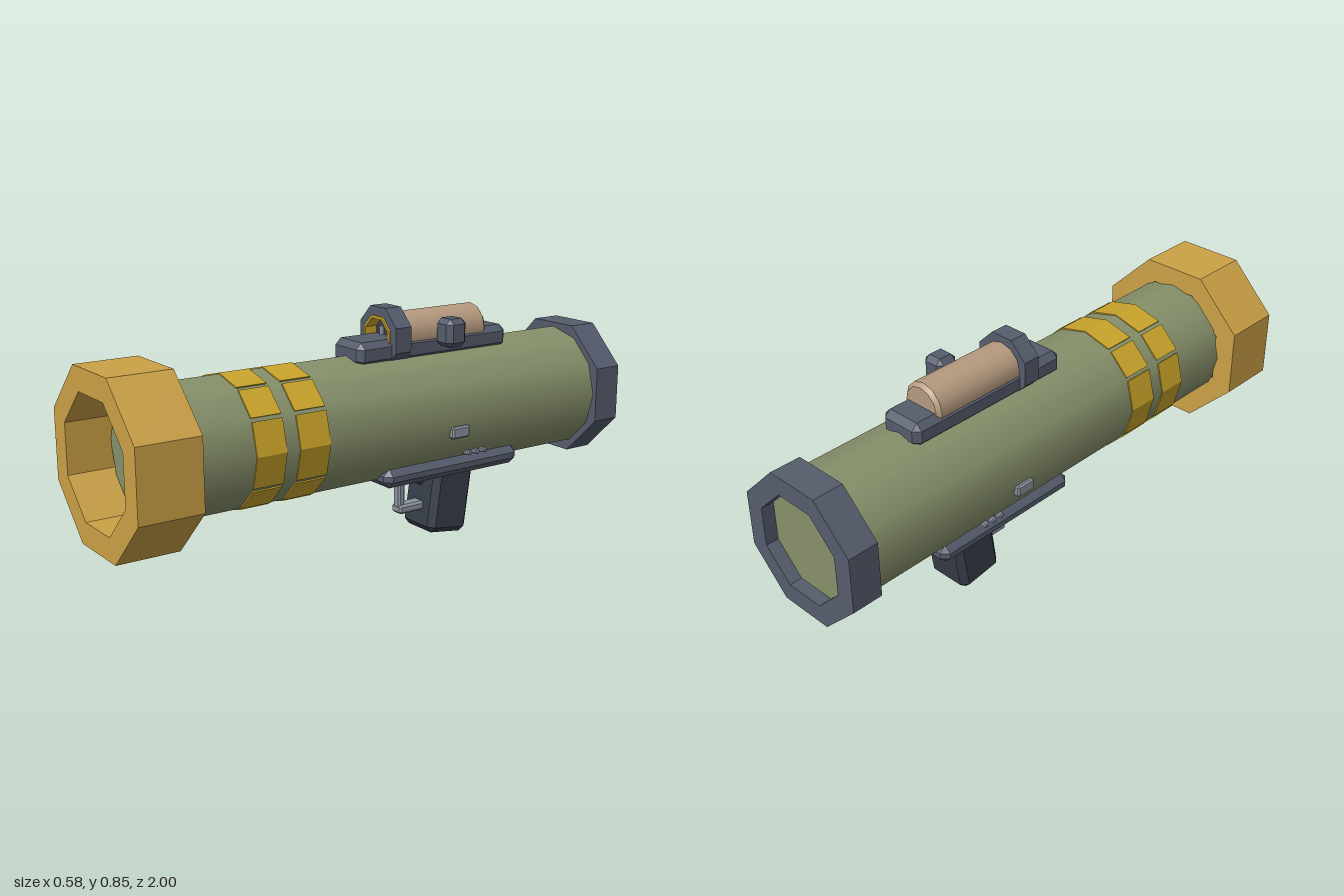
import * as THREE from 'three';
import { ConvexGeometry } from 'three/addons/geometries/ConvexGeometry.js';

const AXIS = 0.475; // height of the barrel centre line

const paint = (name, color, extra = {}) => {
  const m = new THREE.MeshStandardMaterial({ color, ...extra });
  m.name = name;
  return m;
};

// Box with every edge chamfered by c
function chamferBox(w, h, d, c) {
  const pts = [];
  for (const sx of [-1, 1]) for (const sy of [-1, 1]) for (const sz of [-1, 1]) {
    const x = w / 2, y = h / 2, z = d / 2;
    pts.push(
      new THREE.Vector3(sx * x, sy * (y - c), sz * (z - c)),
      new THREE.Vector3(sx * (x - c), sy * y, sz * (z - c)),
      new THREE.Vector3(sx * (x - c), sy * (y - c), sz * z));
  }
  return new ConvexGeometry(pts);
}

// Octagon with flat top and sides, sized by its apothem
function octagon(apothem, Type = THREE.Shape) {
  const r = apothem / Math.cos(Math.PI / 8), pts = [];
  for (let i = 0; i < 8; i++) {
    const a = Math.PI / 8 + i * Math.PI / 4;
    pts.push(new THREE.Vector2(r * Math.cos(a), r * Math.sin(a)));
  }
  return new Type(pts);
}

// Octagonal ring between two z positions
function octRing(outer, inner, z0, z1) {
  const shape = octagon(outer);
  shape.holes.push(octagon(inner, THREE.Path));
  const g = new THREE.ExtrudeGeometry(shape, { depth: z1 - z0, bevelEnabled: false });
  return g.translate(0, 0, z0);
}

// Round section along z, from radius r0 at z0 to r1 at z1
function round(r0, r1, z0, z1, sides, open = true) {
  const g = new THREE.CylinderGeometry(r1, r0, z1 - z0, sides, 1, open);
  return g.rotateX(Math.PI / 2).translate(0, 0, (z0 + z1) / 2);
}

export function createModel() {
  const model = new THREE.Group();
  model.name = 'shoulderLauncher';

  const olive = paint('olive', 0x87916b);
  const ochre = paint('ochre', 0xcba146);
  const yellow = paint('yellow', 0xcaa42b);
  const slate = paint('slate', 0x555c6c);
  const charcoal = paint('charcoal', 0x373d49);
  const tan = paint('tan', 0xb79b80);
  const steel = paint('steel', 0x8b93a1);

  const add = (name, geometry, material, x = 0, y = 0, z = 0, rx = 0) => {
    const m = new THREE.Mesh(geometry, material);
    m.name = name;
    m.position.set(x, y, z);
    m.rotation.x = rx;
    model.add(m);
    return m;
  };

  // Barrel with chamfered, closed ends
  add('barrel', round(0.225, 0.225, -0.94, 0.83, 12), olive, 0, AXIS);
  add('barrelFrontEnd', round(0.225, 0.213, 0.83, 0.845, 12, false), olive, 0, AXIS);
  add('barrelRearEnd', round(0.213, 0.225, -0.955, -0.94, 12, false), olive, 0, AXIS);

  // Octagonal end collars
  add('muzzleCollar', octRing(0.29, 0.21, 0.78, 1), ochre, 0, AXIS);
  add('rearCollar', octRing(0.24, 0.172, -1, -0.89), slate, 0, AXIS);

  // Painted bands, broken by narrow gaps at 30 and 60 degrees in each quadrant
  const bandShape = (a0, a1) => {
    const gap = 0.03, n = Math.round((a1 - a0) / (Math.PI / 6)), outer = [], inner = [];
    for (let i = 0; i <= n; i++) {
      let a = a0 + (a1 - a0) * i / n;
      if (i === 0) a += gap;
      if (i === n) a -= gap;
      outer.push(new THREE.Vector2(0.2285 * Math.cos(a), 0.2285 * Math.sin(a)));
      inner.unshift(new THREE.Vector2(0.22 * Math.cos(a), 0.22 * Math.sin(a)));
    }
    return new THREE.Shape([...outer, ...inner]);
  };
  for (const [z0, z1] of [[0.285, 0.4], [0.45, 0.56]]) {
    for (let q = 0; q < 4; q++) {
      const a = q * Math.PI / 2, step = Math.PI / 6;
      for (const [s, e] of [[a - step, a + step], [a + step, a + 2 * step]]) {
        const g = new THREE.ExtrudeGeometry(bandShape(s, e), { depth: z1 - z0, bevelEnabled: false });
        add('bandSegment', g, yellow, 0, AXIS, z0);
      }
    }
  }

  // Sight: rail, scope tube, hood, lens and side knob
  add('sightRail', chamferBox(0.165, 0.085, 0.655, 0.022), slate, 0, 0.7085, -0.2575);
  add('scopeTube', round(0.081, 0.081, -0.475, -0.12, 12), tan, 0, 0.75);
  add('scopeRearEnd', round(0.068, 0.081, -0.488, -0.475, 12, false), tan, 0, 0.75);
  add('scopeHood', octRing(0.104, 0.071, -0.13, -0.065), slate, 0, 0.75);
  add('scopeTrim', octRing(0.0725, 0.063, -0.12, -0.058), yellow, 0, 0.75);
  const lens = new THREE.ExtrudeGeometry(octagon(0.066), { depth: 0.01, bevelEnabled: false });
  add('scopeLens', lens, charcoal, 0, 0.75, -0.115);
  add('lensMark', new THREE.BoxGeometry(0.02, 0.03, 0.01), steel, -0.025, 0.766, -0.102);
  add('sightKnob', chamferBox(0.085, 0.1, 0.085, 0.018), slate, 0.118, 0.76, -0.293);

  // Grip plate under the barrel and the raked grip
  add('gripPlate', chamferBox(0.35, 0.068, 0.595, 0.024), slate, 0, 0.288, -0.2775);
  add('grip', chamferBox(0.175, 0.3, 0.175, 0.022), charcoal, 0, 0.158, -0.343, -0.14);

  // Trigger and guard
  add('triggerGuardPost', chamferBox(0.036, 0.17, 0.028, 0.006), steel, 0, 0.185, -0.162);
  add('triggerGuardFoot', chamferBox(0.054, 0.034, 0.11, 0.008), steel, 0, 0.112, -0.202);
  add('trigger', chamferBox(0.03, 0.08, 0.022, 0.005), charcoal, 0, 0.225, -0.24, 0.4);

  // Side catches and rivets, mirrored
  for (const s of [-1, 1]) {
    add('sideCatch', chamferBox(0.04, 0.042, 0.075, 0.006), steel, s * 0.212, 0.43, -0.256);
    for (const z of [-0.33, -0.364, -0.398]) {
      add('rivet', chamferBox(0.04, 0.017, 0.02, 0.004), steel, s * 0.172, 0.335, z);
    }
  }
  return model;
}
